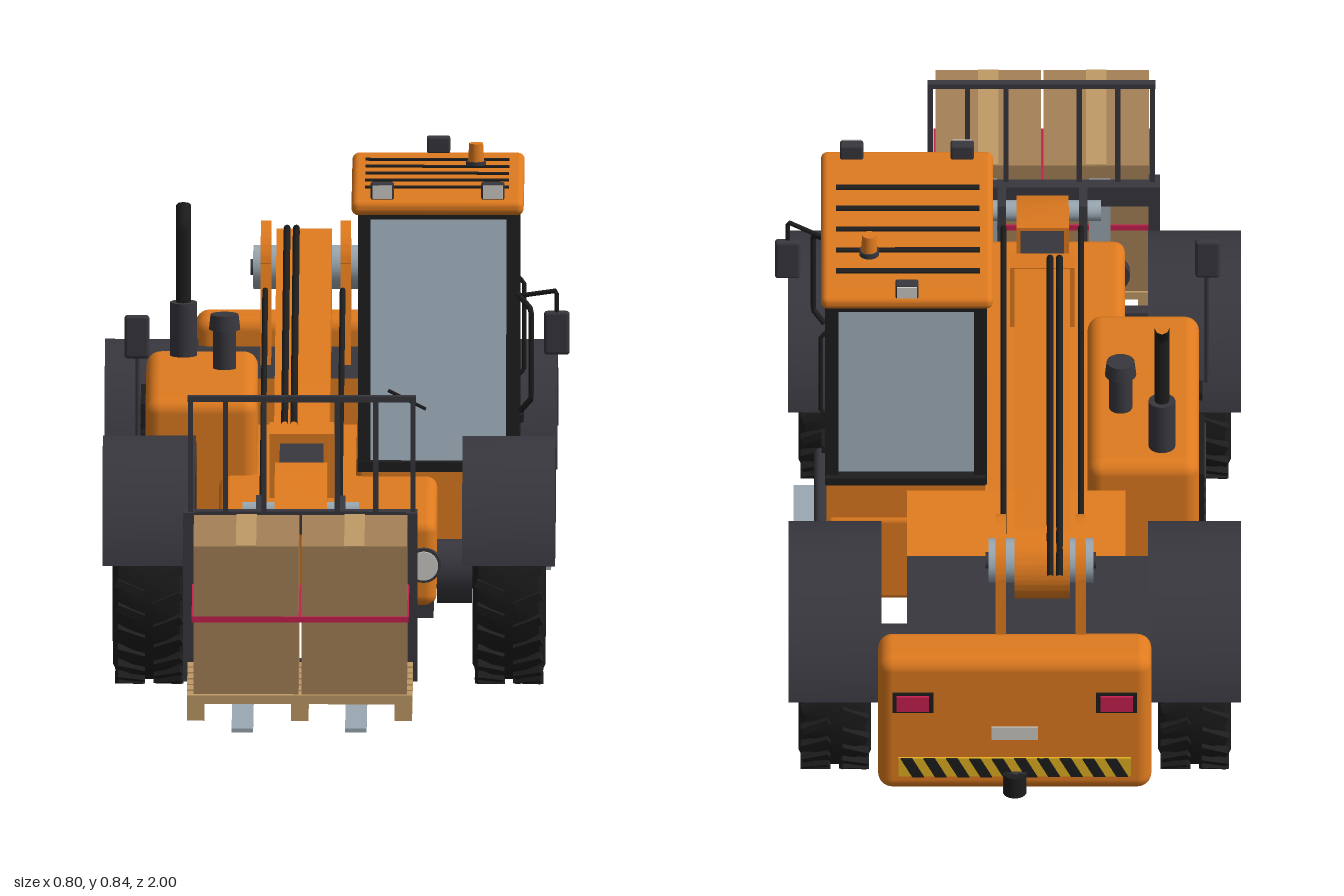
import * as THREE from 'three';
import { toCreasedNormals } from 'three/addons/utils/BufferGeometryUtils.js';
import { RoundedBoxGeometry } from 'three/addons/geometries/RoundedBoxGeometry.js';

const mat = (name, color) => {
  const m = new THREE.MeshStandardMaterial({ color });
  m.name = name;
  return m;
};

export function createModel() {
  const root = new THREE.Group();
  root.name = 'telescopicHandler';
  const orange = mat('orange paint', 0xe07b1f), dark = mat('charcoal', 0x38373e), black = mat('black rubber', 0x1d1d1d),
    glass = mat('glass', 0xa3b3bf), light = mat('light grey', 0xcfcdc8), card = mat('cardboard', 0xa58157),
    wood = mat('pale wood', 0xc09b66), red = mat('red', 0xc8204f), yellow = mat('yellow', 0xe0b020), steel = mat('steel', 0x9aa8b2);

  const add = (name, geo, m, parent = root) => {
    const mesh = new THREE.Mesh(geo, m);
    mesh.name = name;
    parent.add(mesh);
    return mesh;
  };
  // Box given by its limits; r rounds the edges
  const box = (name, m, x0, x1, y0, y1, z0, z1, r = 0) => {
    const s = [x1 - x0, y1 - y0, z1 - z0];
    const g = r ? new RoundedBoxGeometry(...s, 3, r) : new THREE.BoxGeometry(...s);
    return add(name, g.translate((x0 + x1) / 2, (y0 + y1) / 2, (z0 + z1) / 2), m);
  };
  // Side profile swept across the width
  const sweep = (name, m, shape, x0, x1) => add(name, toCreasedNormals(
    new THREE.ExtrudeGeometry(shape, { depth: x1 - x0, bevelEnabled: false, curveSegments: 24 })
      .rotateY(-Math.PI / 2).translate(x1, 0, 0), 0.5), m);
  const profile = (name, m, pts, x0, x1) =>
    sweep(name, m, new THREE.Shape(pts.map(p => new THREE.Vector2(...p))), x0, x1);
  const cyl = (name, m, axis, r, len, x, y, z, r2 = r, seg = 24) => {
    const g = new THREE.CylinderGeometry(r2, r, len, seg);
    if (axis === 'x') g.rotateZ(-Math.PI / 2);
    if (axis === 'z') g.rotateX(Math.PI / 2);
    return add(name, g.translate(x, y, z), m);
  };
  const tube = (name, m, r, ...pts) => {
    const path = new THREE.CurvePath();
    const v = pts.map(p => new THREE.Vector3(...p));
    for (let i = 1; i < v.length; i++) path.add(new THREE.LineCurve3(v[i - 1], v[i]));
    return add(name, new THREE.TubeGeometry(path, 8 * (v.length - 1), r, 8), m);
  };

  // Chassis
  box('chassis', orange, -0.205, 0.17, 0.17, 0.32, -0.9, 0.5, 0.02);
  box('bellyPlate', dark, -0.2, 0.165, 0.15, 0.18, -0.89, 0.49);
  box('rearDeck', dark, -0.25, 0.17, 0.3, 0.37, -0.89, -0.57);
  profile('rearSlope', orange, [[-0.41, 0.4], [-0.41, 0.25], [-0.57, 0.25], [-0.57, 0.32]].reverse(), -0.205, 0.17);
  for (const x of [0.148, -0.183]) {
    cyl('headlampRing', dark, 'z', 0.03, 0.02, x, 0.245, 0.5);
    cyl('headlamp', light, 'z', 0.025, 0.025, x, 0.245, 0.503);
  }

  // Rear counterweight with lamps and hazard strip
  box('counterweight', orange, -0.25, 0.22, 0.15, 0.42, -0.972, -0.87, 0.025);
  box('plate', light, -0.055, 0.025, 0.26, 0.285, -0.976, -0.97);
  for (const x of [-0.19, 0.16]) {
    box('lampSurround', black, x - 0.035, x + 0.035, 0.315, 0.355, -0.975, -0.97);
    box('tailLamp', red, x - 0.028, x + 0.028, 0.32, 0.35, -0.98, -0.972);
  }
  box('hazardStrip', yellow, -0.215, 0.185, 0.185, 0.222, -0.976, -0.97);
  for (let i = 0; i < 10; i++) {
    const x = -0.21 + i * 0.039;
    const s = new THREE.Shape([[x, 0.185], [x + 0.02, 0.185], [x + 0.04, 0.222], [x + 0.02, 0.222]].map(p => new THREE.Vector2(...p)));
    add('hazardStripe', new THREE.ExtrudeGeometry(s, { depth: 0.004, bevelEnabled: false }).translate(0, 0, -0.979), black);
  }
  box('hitchBlock', dark, -0.035, 0.005, 0.155, 0.195, -0.985, -0.965);
  cyl('hitchPin', black, 'y', 0.02, 0.04, -0.015, 0.175, -0.98);

  // Wheels, axles and fenders
  const tyreGeo = toCreasedNormals(new THREE.LatheGeometry([[0.105, -0.05], [0.13, -0.06], [0.165, -0.0625], [0.185, -0.052],
    [0.191, -0.03], [0.191, 0.03], [0.185, 0.052], [0.165, 0.0625], [0.13, 0.06], [0.105, 0.05]]
    .map(p => new THREE.Vector2(...p)), 48).rotateZ(-Math.PI / 2), 0.6);
  const rimGeo = toCreasedNormals(new THREE.LatheGeometry([[0, -0.042], [0.075, -0.036], [0.1, -0.054], [0.112, -0.056],
    [0.112, 0.056], [0.1, 0.054], [0.075, 0.036], [0, 0.042]].map(p => new THREE.Vector2(...p)), 40).rotateZ(-Math.PI / 2), 0.4);
  for (const z of [0.29, -0.615]) {
    cyl('axle', dark, 'x', 0.035, 0.5, -0.015, 0.2, z);
    for (const side of [-1, 1]) {
      const cx = -0.015 + side * 0.309;
      const wheel = new THREE.Group();
      wheel.name = 'wheel';
      wheel.position.set(cx, 0.2, z);
      root.add(wheel);
      add('tyre', tyreGeo, black, wheel);
      add('rim', rimGeo, light, wheel);
      add('hub', new THREE.CylinderGeometry(0.037, 0.037, 0.105, 20).rotateZ(Math.PI / 2), dark, wheel);
      for (let i = 0; i < 10; i++) {
        const a = i * Math.PI / 5;
        add('wheelBolt', new THREE.CylinderGeometry(0.006, 0.006, 0.088, 8).rotateZ(Math.PI / 2)
          .translate(0, 0.06 * Math.sin(a), 0.06 * Math.cos(a)), dark, wheel);
      }
      for (let i = 0; i < 56; i++) {
        add('treadLug', new THREE.BoxGeometry(0.05, 0.014, 0.014).rotateY((i % 2 ? 1 : -1) * 0.4)
          .translate(i % 2 ? 0.033 : -0.033, 0.192, 0).rotateX(i * Math.PI / 28), black, wheel);
      }
      const arc = new THREE.Shape();
      arc.absarc(z, 0.2, 0.227, 0.2, Math.PI - 0.2, false);
      arc.absarc(z, 0.2, 0.208, Math.PI - 0.2, 0.2, true);
      sweep('fender', dark, arc, cx - 0.08, cx + 0.08);
      cyl('axleHousing', dark, 'x', 0.055, 0.06, -0.015 + side * 0.215, 0.195, z);
    }
  }

  // Engine hood, side grille, exhaust and air intake
  box('engineHood', orange, -0.332, -0.14, 0.17, 0.452, -0.41, 0.07, 0.025);
  box('sideGrille', black, -0.341, -0.33, 0.28, 0.4, -0.36, -0.17);
  for (let i = 0; i < 5; i++) box('grilleSlat', dark, -0.344, -0.338, 0.29 + i * 0.022, 0.3 + i * 0.022, -0.35, -0.18);
  box('hoodLabel', light, -0.336, -0.33, 0.24, 0.275, -0.09, -0.05);
  box('hoodLatch', black, -0.338, -0.33, 0.36, 0.375, -0.07, -0.03);
  box('sideStripe', red, -0.336, -0.33, 0.205, 0.217, -0.38, 0.04);
  cyl('muffler', dark, 'y', 0.023, 0.11, -0.268, 0.49, -0.35);
  tube('exhaustPipe', black, 0.013, [-0.268, 0.53, -0.35], [-0.268, 0.68, -0.35], [-0.268, 0.71, -0.372]);
  cyl('intakeStem', dark, 'y', 0.02, 0.09, -0.197, 0.485, -0.23);
  cyl('intakeCap', dark, 'y', 0.027, 0.026, -0.197, 0.533, -0.23, 0.024);

  // Cab: lower body, glazing, posts
  box('cabBase', orange, 0.03, 0.308, 0.17, 0.34, -0.405, 0.075, 0.012);
  box('cabRearPanel', orange, 0.035, 0.308, 0.33, 0.41, -0.4, -0.265);
  profile('cabGlass', glass, [[-0.382, 0.335], [0.06, 0.335], [0, 0.775], [-0.382, 0.775]], 0.045, 0.3);
  for (const [x0, x1] of [[0.033, 0.055], [0.288, 0.311]]) {
    profile('frontPost', black, [[0.047, 0.335], [0.072, 0.335], [0.01, 0.775], [-0.015, 0.775]], x0, x1);
    box('middlePost', black, x0, x1, 0.335, 0.775, -0.275, -0.253);
    box('rearPost', black, x0, x1, 0.4, 0.775, -0.392, -0.372);
    box('sideSill', black, x0, x1, 0.335, 0.35, -0.26, 0.06);
    box('rearSill', black, x0, x1, 0.405, 0.42, -0.39, -0.27);
    box('sideHeader', black, x0, x1, 0.755, 0.775, -0.39, 0.005);
  }
  box('frontSill', black, 0.033, 0.311, 0.328, 0.345, 0.04, 0.077);
  box('frontHeader', black, 0.035, 0.31, 0.757, 0.775, -0.015, 0.011);
  box('rearHeader', black, 0.035, 0.31, 0.755, 0.775, -0.392, -0.375);
  box('rearWindowSill', black, 0.035, 0.31, 0.405, 0.42, -0.403, -0.375);
  box('doorHandle', black, 0.305, 0.317, 0.365, 0.378, -0.24, -0.19);
  tube('doorGrip', black, 0.004, [0.308, 0.44, -0.235], [0.318, 0.45, -0.235], [0.318, 0.6, -0.235], [0.308, 0.61, -0.235]);
  tube('wiper', black, 0.003, [0.085, 0.465, 0.047], [0.15, 0.433, 0.051]);

  // Roof with slots, beacon and work lights
  box('roof', orange, 0.022, 0.318, 0.77, 0.797, -0.412, 0.052, 0.012);
  for (let i = 0; i < 5; i++) box('roofSlot', black, 0.045, 0.292, 0.794, 0.8, -0.335 + i * 0.065, -0.323 + i * 0.065);
  cyl('beaconBase', dark, 'y', 0.017, 0.01, 0.235, 0.801, -0.275);
  cyl('beacon', orange, 'y', 0.014, 0.034, 0.235, 0.82, -0.275, 0.012);
  for (const x of [0.075, 0.265]) {
    box('workLight', dark, x - 0.02, x + 0.02, 0.796, 0.825, 0.018, 0.04, 0.004);
    box('workLightLens', light, x - 0.017, x + 0.017, 0.799, 0.822, 0.038, 0.044);
  }
  box('rearWorkLight', dark, 0.15, 0.19, 0.796, 0.825, -0.415, -0.393, 0.004);
  box('rearWorkLens', light, 0.153, 0.187, 0.8, 0.822, -0.418, -0.412);

  // Mirrors and entry grab rail
  tube('mirrorArm', black, 0.004, [0.308, 0.627, 0.03], [0.375, 0.642, 0.06], [0.375, 0.6, 0.06]);
  box('cabMirror', dark, 0.353, 0.397, 0.53, 0.606, 0.05, 0.066, 0.006);
  tube('grabRail', black, 0.005, [0.308, 0.63, 0.025], [0.331, 0.61, 0.068], [0.331, 0.455, 0.07], [0.312, 0.432, 0.062]);
  tube('mirrorPole', dark, 0.004, [-0.345, 0.3, 0.08], [-0.345, 0.54, 0.065]);
  box('fenderMirror', dark, -0.368, -0.325, 0.525, 0.6, 0.06, 0.076, 0.006);

  // Fuel tank and step
  box('fuelTank', dark, 0.17, 0.33, 0.122, 0.23, -0.305, -0.012, 0.012);
  box('entryStep', steel, 0.3, 0.365, 0.14, 0.15, -0.14, -0.015);

  // Boom: pivot tower, main beam, inner beam, head
  const towerShape = new THREE.Shape();
  towerShape.moveTo(-0.89, 0.3);
  towerShape.lineTo(-0.68, 0.3);
  towerShape.lineTo(-0.735, 0.54);
  towerShape.absarc(-0.81, 0.522, 0.078, 0.25, Math.PI - 0.1, false);
  for (const x of [-0.137, 0]) sweep('pivotPlate', orange, towerShape, x, x + 0.018);
  cyl('pivotPin', steel, 'x', 0.038, 0.18, -0.06, 0.52, -0.81);
  cyl('pivotCap', dark, 'x', 0.014, 0.19, -0.06, 0.52, -0.81);
  const boom = new THREE.Shape();
  boom.moveTo(-0.79, 0.452);
  boom.lineTo(0.25, 0.32);
  boom.lineTo(0.25, 0.435);
  boom.lineTo(-0.8, 0.585);
  boom.absarc(-0.81, 0.52, 0.066, 1.4, 4.9, false);
  sweep('mainBoom', orange, boom, -0.11, -0.015);
  profile('boomCollar', orange, [[0.22, 0.32], [0.28, 0.315], [0.28, 0.432], [0.22, 0.442]], -0.118, -0.007);
  profile('innerBoom', dark, [[0.25, 0.33], [0.46, 0.305], [0.46, 0.39], [0.25, 0.42]], -0.1, -0.025);
  profile('boomHead', orange, [[0.4, 0.32], [0.48, 0.27], [0.5, 0.19], [0.56, 0.19], [0.585, 0.35], [0.49, 0.395], [0.4, 0.405]], -0.108, -0.018);
  for (const x of [-0.092, -0.076]) tube('boomHose', black, 0.006, [x, 0.54, -0.89], [x, 0.594, -0.82], [x, 0.443, 0.25]);
  for (const x of [-0.129, 0.004]) tube('sideHose', black, 0.005, [x, 0.5, -0.7], [x, 0.405, 0.2], [x, 0.385, 0.42], [x, 0.32, 0.53]);
  for (const [y, z] of [[0.345, 0.545], [0.215, 0.54]]) cyl('headPin', steel, 'x', 0.018, 0.2, -0.063, y, z);
  for (const x of [-0.14, 0]) profile('carriageLug', dark, [[0.51, 0.2], [0.6, 0.11], [0.6, 0.36], [0.52, 0.37]], x, x + 0.014);

  // Carriage frame and load backrest
  for (const [y0, y1] of [[0.066, 0.1], [0.32, 0.36]]) box('carriageBar', dark, -0.265, 0.138, y0, y1, 0.595, 0.62);
  for (const x of [-0.265, 0.118]) box('carriagePost', dark, x, x + 0.02, 0.066, 0.36, 0.595, 0.635);
  for (const x of [-0.252, -0.192, -0.126, 0, 0.066, 0.13]) box('backrestBar', dark, x - 0.0045, x + 0.0045, 0.34, 0.56, 0.612, 0.622);
  box('backrestTop', dark, -0.257, 0.135, 0.552, 0.562, 0.61, 0.624);

  // Forks
  for (const x of [-0.18, 0.015]) {
    box('forkShank', steel, x, x + 0.037, 0.045, 0.35, 0.62, 0.637);
    profile('forkTine', steel, [[0.62, 0.042], [1, 0.045], [1, 0.052], [0.7, 0.06], [0.62, 0.062]], x, x + 0.037);
  }

  // Pallet
  for (const x of [-0.242, -0.063, 0.115]) {
    box('palletRunner', wood, x - 0.015, x + 0.015, 0.06, 0.067, 0.655, 0.97);
    for (const z of [0.675, 0.812, 0.95]) box('palletBlock', wood, x - 0.015, x + 0.015, 0.066, 0.09, z - 0.02, z + 0.02);
  }
  for (let i = 0; i < 6; i++) box('palletBoard', wood, -0.257, 0.13, 0.089, 0.104, 0.655 + i * 0.0545, 0.6975 + i * 0.0545);

  // Cartons with tape and strap
  for (const x of [-0.246, -0.06]) {
    box('carton', card, x, x + 0.181, 0.104, 0.362, 0.66, 0.957);
    box('cartonTape', wood, x + 0.073, x + 0.108, 0.36, 0.3635, 0.66, 0.957);
  }
  box('loadStrap', red, -0.249, 0.124, 0.23, 0.24, 0.657, 0.96);
  return root;
}
